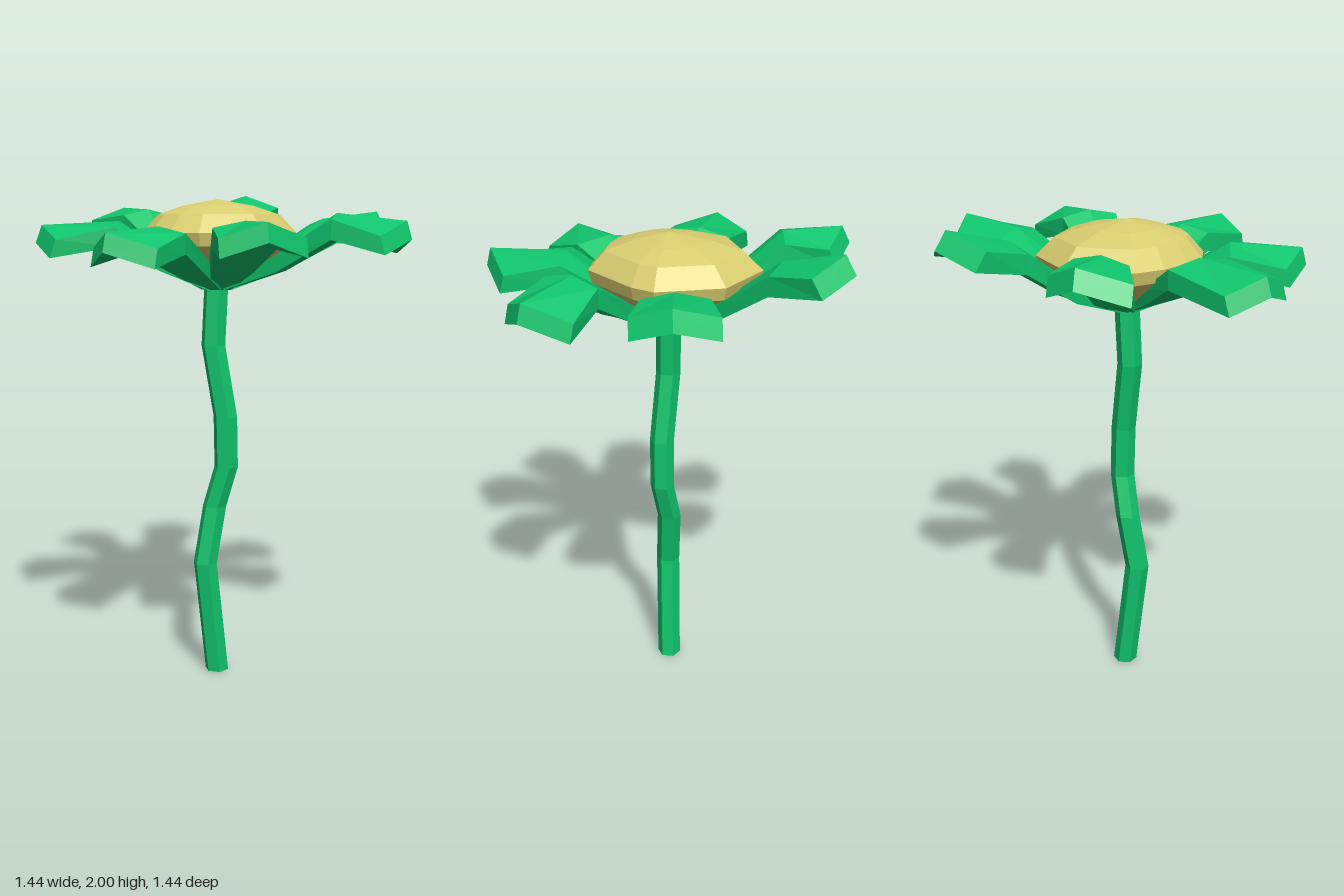
import * as THREE from 'three';

const green = new THREE.MeshStandardMaterial({ color: 0x10c46c, flatShading: true });
const yellow = new THREE.MeshStandardMaterial({ color: 0xdace70, flatShading: true });

// Skins a list of equally sized closed rings; extra quads close the ends.
function skin(name, rings, material, caps = []) {
  const n = rings[0].length;
  const index = [];
  const quad = (a, b, c, d) => index.push(a, b, c, a, c, d);
  for (let s = 0; s < rings.length - 1; s++) {
    for (let j = 0; j < n; j++) {
      const k = (j + 1) % n;
      quad(s * n + j, s * n + k, (s + 1) * n + k, (s + 1) * n + j);
    }
  }
  caps.forEach((c) => quad(...c));
  const geo = new THREE.BufferGeometry();
  geo.setAttribute('position', new THREE.Float32BufferAttribute(rings.flat(2), 3));
  geo.setIndex(index);
  const flat = geo.toNonIndexed();
  flat.computeVertexNormals();
  const mesh = new THREE.Mesh(flat, material);
  mesh.name = name;
  return mesh;
}

const CX = -0.055, CZ = 0.01; // where the flower meets the stem
const mix = (a, b, t) => a + (b - a) * t;

// Crooked six-sided stem: x, y, z of each joint
function makeStem() {
  const joints = [
    [-0.06, 0, 0.01], [-0.113, 0.48, 0.01], [-0.068, 0.72, 0.008], [-0.03, 0.89, 0.04],
    [-0.034, 1.1, 0.04], [-0.073, 1.39, 0.01], [-0.058, 1.66, 0.01],
  ];
  const rings = joints.map(([x, y, z]) => Array.from({ length: 6 }, (_, i) => {
    const a = -(i + 0.3) * Math.PI / 3;
    return [x + 0.05 * Math.cos(a), y, z + 0.05 * Math.sin(a)];
  }));
  return skin('stem', rings, green, [[3, 2, 1, 0], [5, 4, 3, 0]]);
}

// Flower centre: an uneven outline scaled through a few heights up to the apex
function makeCentre() {
  const outline = [
    [0.265, 0.085], [0.24, -0.18], [0.04, -0.345], [-0.22, -0.29], [-0.295, -0.19], [-0.34, -0.06],
    [-0.355, 0.04], [-0.32, 0.15], [-0.245, 0.245], [-0.13, 0.295], [-0.015, 0.32], [0.205, 0.165],
  ];
  const profile = [[0.15, 1.62], [0.96, 1.79], [1, 1.84], [0.79, 1.91], [0.45, 1.945], [0, 1.97]];
  const rings = profile.map(([s, y]) =>
    outline.map(([x, z]) => [mix(CX, x, s), y, mix(CZ, z, s)]));
  return skin('flowerCentre', rings, yellow);
}

// Petal: root, bend under the centre, fold and pointed end, each with a raised
// middle ridge. a and b are the two sides, m the middle.
function makePetal({ fold, end, foldY, endY, inset }, i) {
  const [fa, fb] = fold;
  const fm = [(fa[0] + fb[0]) / 2, (fa[1] + fb[1]) / 2];
  const len = Math.hypot(fm[0] - CX, fm[1] - CZ);
  const ux = (fm[0] - CX) / len, uz = (fm[1] - CZ) / len;
  const root = [-1, 0, 1].map((s) =>
    [CX + ux * 0.045 - uz * 0.045 * s, CZ + uz * 0.045 + ux * 0.045 * s]);
  const folds = [fa, fm, fb];
  const bend = root.map((p, k) => [mix(p[0], folds[k][0], 0.5), mix(p[1], folds[k][1], 0.5)]);

  // Section order: top a, m, b then bottom b, m, a; the top edge leans inward
  const section = (pts, y, ridge, thick, lean) => {
    const h = [y, y + ridge, y];
    const top = pts.map(([x, z], k) => [x - ux * lean, h[k], z - uz * lean]);
    const bottom = pts.map(([x, z], k) => [x, h[k] - thick, z]);
    return [...top, ...bottom.reverse()];
  };
  const rings = [
    section(root, 1.65, 0, 0.035, 0),
    section(bend, 1.745, 0.005, 0.055, 0.02),
    section(folds, foldY, 0.025, 0.075, 0),
    section(end, endY, 0.055, 0.07, inset),
  ];
  return skin('petal' + (i + 1), rings, green, [[18, 19, 22, 23], [19, 20, 21, 22], [5, 4, 1, 0], [4, 3, 2, 1]]);
}

// Plan positions are [x, z]
const petals = [
  { fold: [[-0.27, -0.455], [-0.05, -0.44]], end: [[-0.363, -0.65], [-0.186, -0.723], [-0.046, -0.646]], foldY: 1.91, endY: 1.89, inset: 0.037 },
  { fold: [[0.128, -0.45], [0.333, -0.317]], end: [[0.228, -0.642], [0.406, -0.615], [0.5, -0.48]], foldY: 1.91, endY: 1.945, inset: 0.045 },
  { fold: [[0.437, -0.104], [0.422, 0.143]], end: [[0.665, -0.12], [0.72, 0.05], [0.638, 0.193]], foldY: 1.87, endY: 1.87, inset: 0.042 },
  { fold: [[0.356, 0.286], [0.193, 0.468]], end: [[0.549, 0.387], [0.491, 0.565], [0.333, 0.619]], foldY: 1.89, endY: 1.83, inset: 0.02 },
  { fold: [[-0.008, 0.425], [-0.255, 0.38]], end: [[-0.015, 0.658], [-0.205, 0.716], [-0.337, 0.603]], foldY: 1.86, endY: 1.825, inset: 0.018 },
  { fold: [[-0.352, 0.36], [-0.449, 0.093]], end: [[-0.53, 0.491], [-0.673, 0.367], [-0.658, 0.201]], foldY: 1.84, endY: 1.79, inset: 0.02 },
  { fold: [[-0.483, -0.023], [-0.337, -0.263]], end: [[-0.723, -0.077], [-0.719, -0.26], [-0.607, -0.375]], foldY: 1.86, endY: 1.815, inset: 0.025 },
];

export function createModel() {
  const model = new THREE.Group();
  model.name = 'flower';
  const ring = new THREE.Group();
  ring.name = 'petals';
  petals.forEach((p, i) => ring.add(makePetal(p, i)));
  model.add(makeStem(), makeCentre(), ring);
  return model;
}
